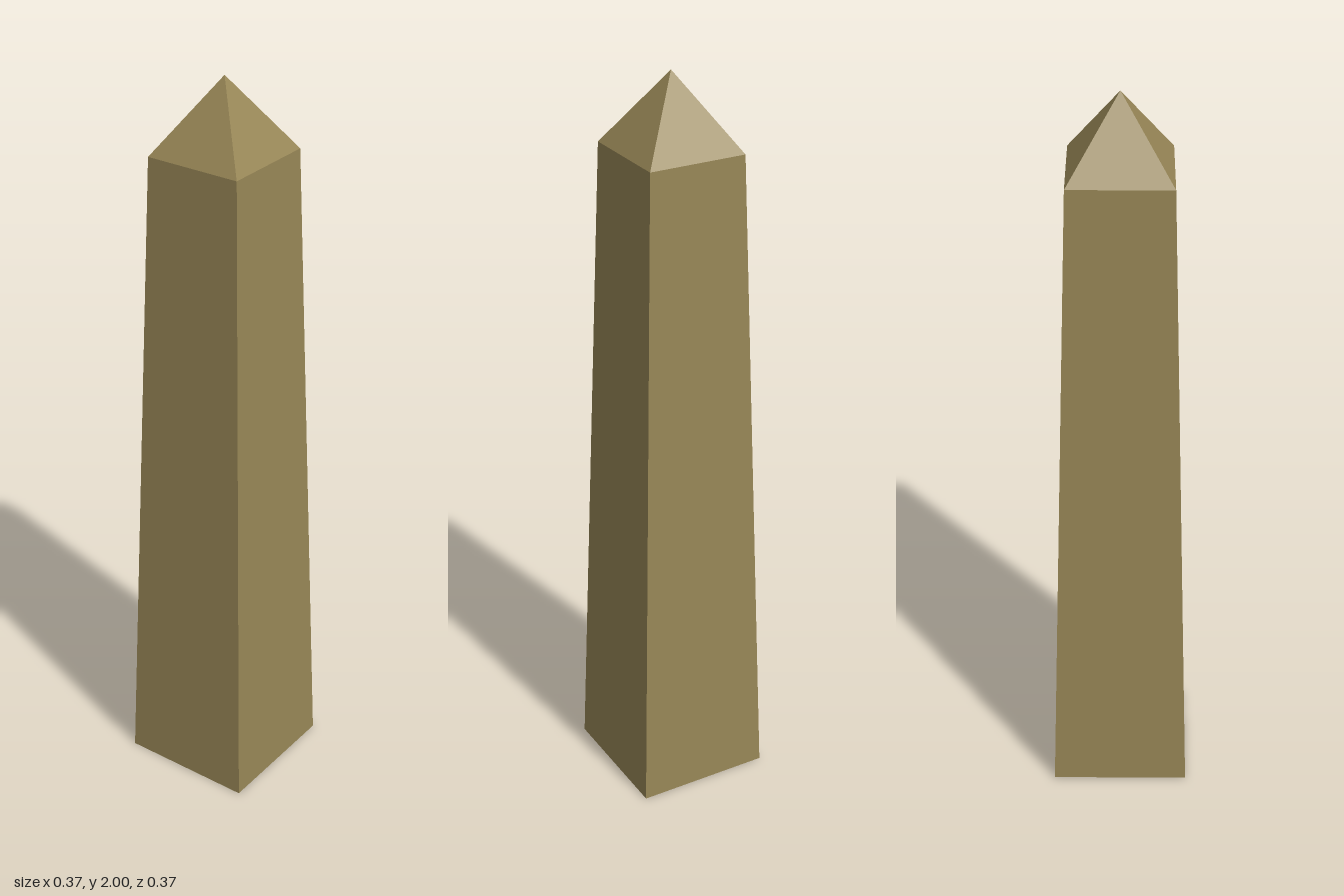
import * as THREE from 'three';

const BASE_HALF = 0.186;
const TOP_HALF = 0.133;
const SHAFT_HEIGHT = 1.803;
const HEIGHT = 2;

// Square frustum with faces square to the axes, standing on y = bottom
function squareTaper(name, topHalf, bottomHalf, bottom, top, open, material) {
  const geometry = new THREE.CylinderGeometry(
    topHalf * Math.SQRT2, bottomHalf * Math.SQRT2, top - bottom, 4, 1, open);
  geometry.rotateY(Math.PI / 4);
  geometry.translate(0, (top + bottom) / 2, 0);
  const mesh = new THREE.Mesh(geometry, material);
  mesh.name = name;
  return mesh;
}

export function createModel() {
  const group = new THREE.Group();
  group.name = 'obelisk';
  const stone = new THREE.MeshStandardMaterial({ color: 0x978656, flatShading: true });

  // Tapered shaft with its closed underside
  group.add(squareTaper('shaft', TOP_HALF, BASE_HALF, 0, SHAFT_HEIGHT, false, stone));
  // Pyramid cap
  group.add(squareTaper('pyramidCap', 0, TOP_HALF, SHAFT_HEIGHT, HEIGHT, true, stone));

  return group;
}
